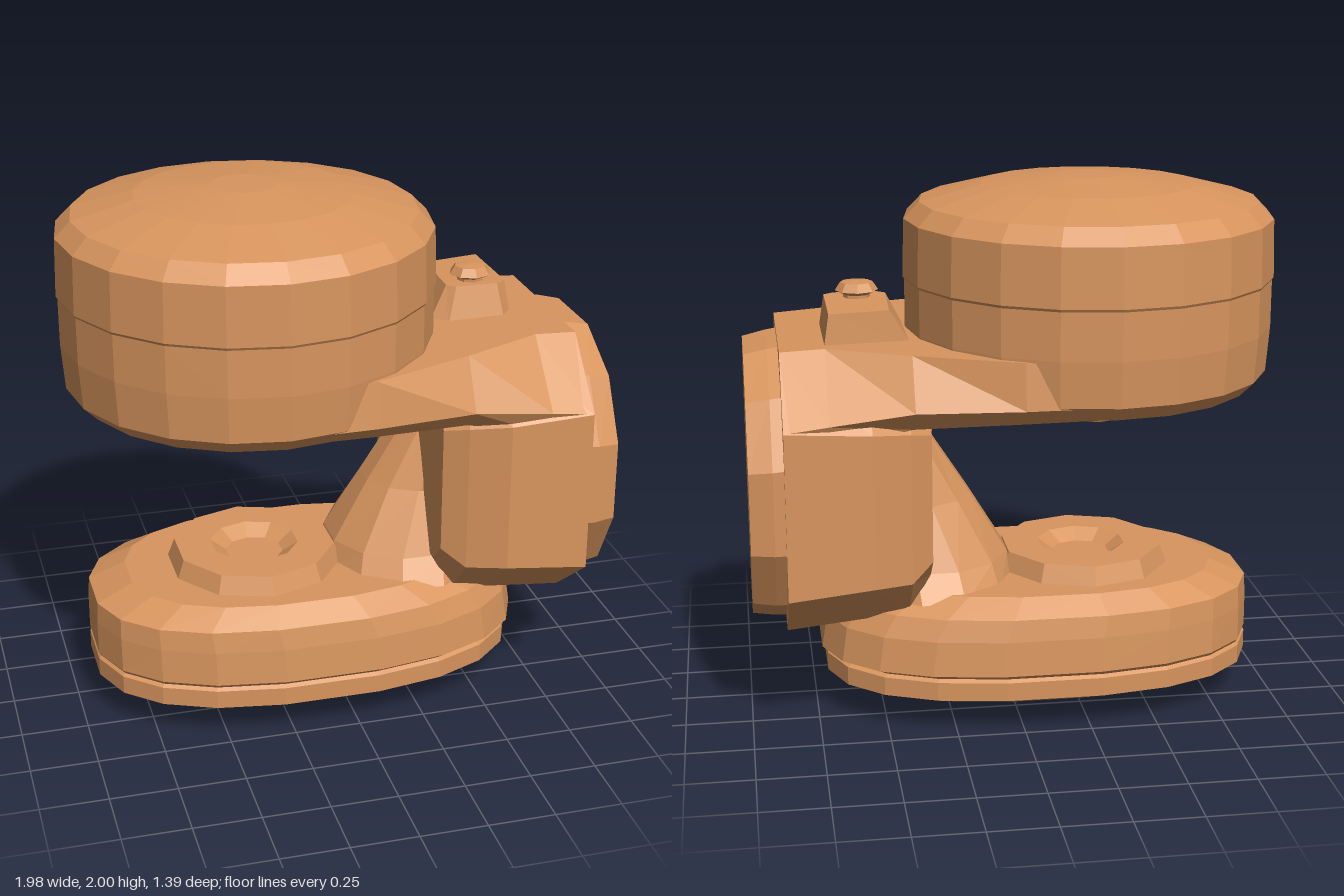
import * as THREE from 'three';

const copper = new THREE.MeshStandardMaterial({ color: 0xd8955e });
copper.name = 'copper';

// Faceted mesh from any geometry
function part(group, name, geometry) {
  const g = geometry.index ? geometry.toNonIndexed() : geometry;
  g.computeVertexNormals();
  const mesh = new THREE.Mesh(g, copper);
  mesh.name = name;
  group.add(mesh);
  return mesh;
}

// Closed solid through rings of [x, y, z] points, capped at both ends
function loft(rings) {
  const n = rings[0].length, pos = rings.flat(2), idx = [];
  for (let r = 0; r < rings.length - 1; r++) {
    for (let i = 0; i < n; i++) {
      const j = (i + 1) % n, a = r * n + i, b = r * n + j;
      idx.push(a, b, a + n, b, b + n, a + n);
    }
  }
  const last = (rings.length - 1) * n;
  for (let i = 1; i < n - 1; i++) {
    idx.push(0, i + 1, i, last, last + i, last + i + 1);
  }
  // Turn the faces outward whatever the ring direction
  const p = (i) => new THREE.Vector3().fromArray(pos, i * 3);
  let volume = 0;
  for (let i = 0; i < idx.length; i += 3) volume += p(idx[i]).dot(p(idx[i + 1]).cross(p(idx[i + 2])));
  if (volume < 0) idx.reverse();
  const g = new THREE.BufferGeometry();
  g.setAttribute('position', new THREE.Float32BufferAttribute(pos, 3));
  g.setIndex(idx);
  return g;
}

// Rounded outline with n corners; a larger power is squarer
function oval(n, power, ru, rv) {
  const bend = (v) => Math.sign(v) * Math.abs(v) ** (2 / power);
  return Array.from({ length: n }, (_, i) => {
    const t = ((i + 0.5) / n) * Math.PI * 2;
    return [bend(Math.cos(t)) * ru, bend(Math.sin(t)) * rv];
  });
}

// Horizontal ring from x0 to x1 with half depth rz
const flatRing = (n, power) => ([y, x0, x1, rz]) =>
  oval(n, power, (x1 - x0) / 2, rz).map(([u, v]) => [(x0 + x1) / 2 + u, y, v]);

// Upright ring from y0 to y1 with half depth rz
const uprightRing = (n, power) => ([x, y0, y1, rz]) =>
  oval(n, power, (y1 - y0) / 2, rz).map(([u, v]) => [x, (y0 + y1) / 2 + u, v]);

// Upright ring mirrored in z from [y, half depth] pairs, bottom to top
const mirrorRing = ([x, ...half]) => [
  ...half.map(([y, z]) => [x, y, z]),
  ...half.map(([y, z]) => [x, y, -z]).reverse(),
];

const lathe = (points, sides) =>
  new THREE.LatheGeometry(points.map(([r, y]) => new THREE.Vector2(r, y)), sides);

export function createModel() {
  const model = new THREE.Group();
  model.name = 'clampMachine';

  // Round head with a domed lid and a fine seam
  part(model, 'head', lathe([
    [0, 1.2], [0.48, 1.2], [0.62, 1.225], [0.675, 1.28], [0.688, 1.45], [0.688, 1.625],
    [0.694, 1.635], [0.688, 1.85], [0.63, 1.91], [0.4, 1.97], [0.12, 2], [0, 2],
  ], 20)).position.x = -0.305;

  // Upper pad below the head
  part(model, 'upperPad', lathe([[0, 1.13], [0.3, 1.13], [0.34, 1.21], [0, 1.21]], 10)).position.x = -0.3;

  // Arm from head to housing
  part(model, 'upperArm', loft([
    [-0.3, [1.21, 0.56], [1.28, 0.66], [1.42, 0.64]],
    [0.02, [1.2, 0.54], [1.27, 0.63], [1.44, 0.61]],
    [0.4, [1.18, 0.48], [1.26, 0.57], [1.445, 0.47]],
    [0.7, [1.12, 0.5], [1.22, 0.55], [1.45, 0.34]],
    [0.86, [1.1, 0.5], [1.2, 0.55], [1.44, 0.33]],
  ].map(mirrorRing)));

  // Eight-sided housing lying along x
  part(model, 'housing', loft([
    [0.33, [0.58, 0.33], [0.66, 0.42], [1.14, 0.42], [1.24, 0.33]],
    [0.41, [0.43, 0.31], [0.6, 0.48], [1.16, 0.48], [1.36, 0.33]],
    [0.55, [0.41, 0.3], [0.61, 0.545], [1.18, 0.545], [1.43, 0.34]],
    [0.86, [0.37, 0.28], [0.58, 0.555], [1.2, 0.555], [1.44, 0.33]],
  ].map(mirrorRing)));
  part(model, 'housingCap', loft([
    [0.84, 0.37, 1.44, 0.545], [0.9, 0.37, 1.43, 0.54], [0.985, 0.38, 1.41, 0.515],
  ].map(uprightRing(12, 2.2))));

  // Web that rises from the base to the arm
  part(model, 'web', loft([
    [0.47, -0.03, 0.6, 0.38], [0.57, 0, 0.6, 0.31], [0.8, 0.14, 0.6, 0.21],
    [1.03, 0.29, 0.6, 0.17], [1.22, 0.25, 0.6, 0.28],
  ].map(flatRing(12, 2))));

  // Oblong base with a rounded belly and a seam
  part(model, 'base', loft([
    [0, -0.45, 0.12, 0.18], [0.05, -0.72, 0.5, 0.33], [0.135, -0.935, 0.715, 0.515],
    [0.205, -0.935, 0.715, 0.515], [0.215, -0.925, 0.7, 0.5], [0.23, -0.935, 0.735, 0.515],
    [0.36, -0.935, 0.715, 0.505], [0.44, -0.93, 0.66, 0.49], [0.5, -0.79, 0.5, 0.41],
  ].map(flatRing(20, 2.45))));

  // Lower pad with a shallow dish
  part(model, 'lowerPad', lathe([
    [0.34, 0.49], [0.31, 0.57], [0.17, 0.57], [0.11, 0.53], [0, 0.53],
  ], 10)).position.x = -0.29;

  // Bracket and knob on the arm
  part(model, 'bracket', loft([
    [[0.38, 1.43, 0.07], [0.44, 1.43, 0.12], [0.66, 1.43, 0.12], [0.7, 1.43, 0.07], [0.7, 1.43, -0.29], [0.38, 1.43, -0.23]],
    [[0.45, 1.565, 0.05], [0.48, 1.565, 0.08], [0.64, 1.565, 0.08], [0.68, 1.565, 0.05], [0.68, 1.56, -0.28], [0.46, 1.56, -0.24]],
  ]));
  part(model, 'knob', lathe([
    [0, 1.55], [0.05, 1.55], [0.05, 1.575], [0.08, 1.59], [0.06, 1.62], [0, 1.625],
  ], 8)).position.x = 0.56;

  return model;
}
